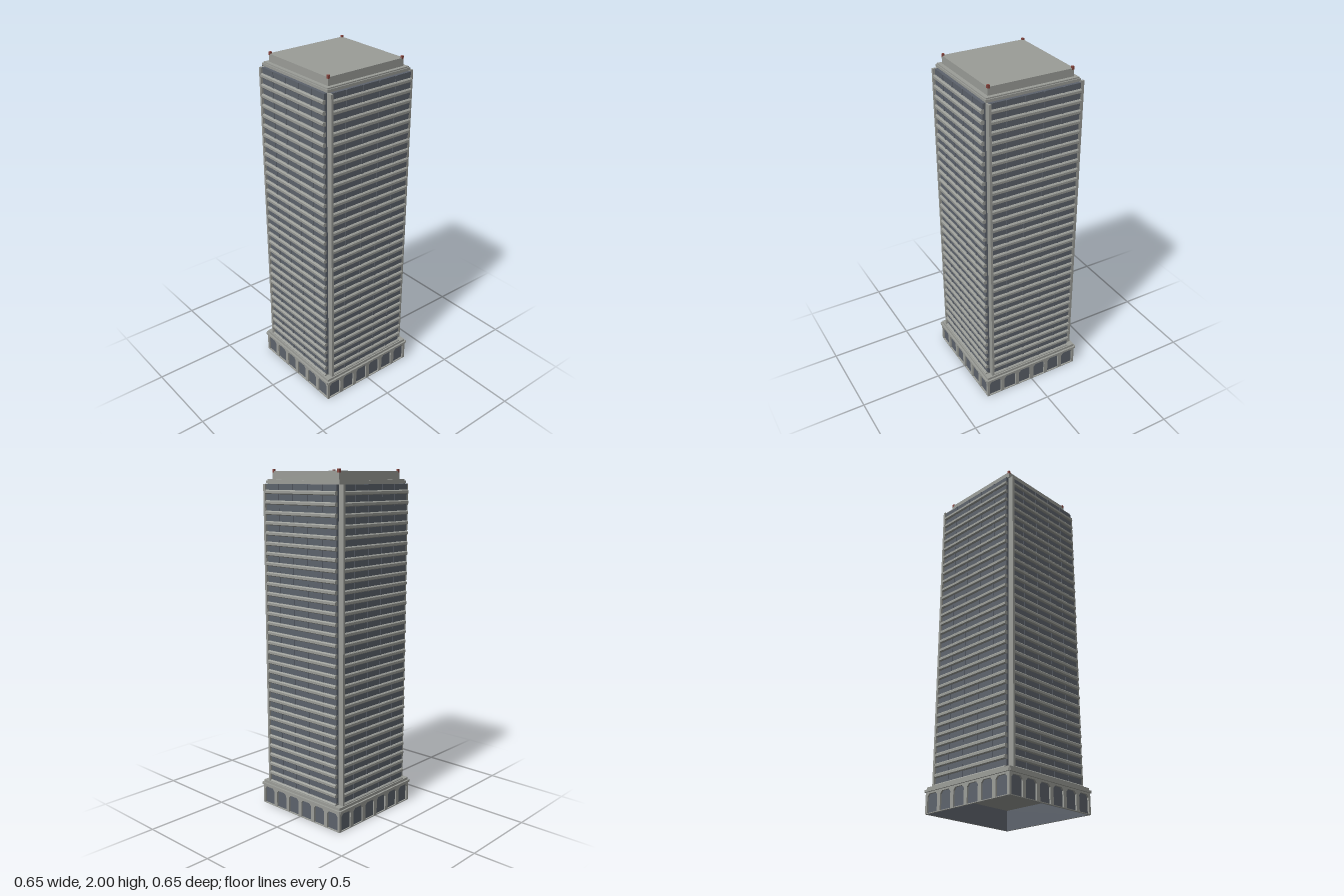
import * as THREE from 'three';

export function createModel() {
  const concrete = new THREE.MeshStandardMaterial({ color: 0x9b9d98 });
  concrete.name = 'concrete';
  const glass = new THREE.MeshStandardMaterial({ color: 0x5d636c, side: THREE.DoubleSide });
  glass.name = 'glass';
  const red = new THREE.MeshStandardMaterial({ color: 0x87463f });
  red.name = 'beaconRed';

  const model = new THREE.Group();
  model.name = 'officeTower';

  const add = (parent, name, geometry, material, x = 0, y = 0, z = 0) => {
    const mesh = new THREE.Mesh(geometry, material);
    mesh.name = name;
    mesh.position.set(x, y, z);
    parent.add(mesh);
    return mesh;
  };
  // Box given by its half widths and its bottom and top heights
  const slab = (name, hx, hz, y0, y1) =>
    add(model, name, new THREE.BoxGeometry(hx * 2, y1 - y0, hz * 2), concrete, 0, (y0 + y1) / 2, 0);

  // Shaft, base cornice and roof steps
  slab('shaftCore', 0.275, 0.275, 0.13, 1.925);
  slab('corniceAcross', 0.323, 0.317, 0.118, 0.131);
  slab('corniceAlong', 0.317, 0.323, 0.118, 0.131);
  slab('baseStep', 0.312, 0.312, 0.13, 0.146);
  slab('roofCap', 0.28, 0.28, 1.925, 1.938);
  slab('roofStep', 0.274, 0.274, 1.938, 1.945);
  slab('penthouse', 0.253, 0.253, 1.945, 1.99);

  // Base wall pierced by six openings with clipped upper corners
  const wall = new THREE.Shape();
  wall.moveTo(-0.315, 0).lineTo(0.315, 0).lineTo(0.315, 0.12).lineTo(-0.315, 0.12).closePath();
  for (let i = 0; i < 6; i++) {
    const c = (i - 2.5) * 0.104, w = 0.04;
    const hole = new THREE.Path();
    hole.moveTo(c - w, 0.004).lineTo(c - w, 0.092).lineTo(c - w + 0.014, 0.108)
      .lineTo(c + w - 0.014, 0.108).lineTo(c + w, 0.092).lineTo(c + w, 0.004).closePath();
    wall.holes.push(hole);
  }
  const wallGeometry = new THREE.ExtrudeGeometry(wall, { depth: 0.01, bevelEnabled: false });
  const baseGlassGeometry = new THREE.PlaneGeometry(0.61, 0.12);

  // Chamfered floor band, running along x and facing +z
  const profile = new THREE.Shape();
  profile.moveTo(0.285, -0.0115).lineTo(0.3, -0.0115).lineTo(0.305, -0.007)
    .lineTo(0.305, 0.006).lineTo(0.3, 0.0115).lineTo(0.285, 0.0115).closePath();
  const bandGeometry = new THREE.ExtrudeGeometry(profile, { depth: 0.535, bevelEnabled: false });
  bandGeometry.rotateY(-Math.PI / 2);
  bandGeometry.translate(0.273, 0, 0);

  const bayGeometry = new THREE.BoxGeometry(0.54, 1.78, 0.024);
  const finGeometry = new THREE.BoxGeometry(0.014, 1.78, 0.035);
  const mullionGeometry = new THREE.BoxGeometry(0.012, 1.78, 0.006);

  // Four identical sides, each with a fin at one end
  for (let s = 0; s < 4; s++) {
    const side = new THREE.Group();
    side.name = 'side' + (s + 1);
    side.rotation.y = s * Math.PI / 2;
    model.add(side);

    add(side, 'baseArcade', wallGeometry, concrete, 0, 0, 0.305);
    add(side, 'baseGlazing', baseGlassGeometry, glass, 0, 0.06, 0.304);
    add(side, 'glazedBay', bayGeometry, glass, 0.002, 1.03, 0.281);
    add(side, 'cornerFin', finGeometry, concrete, -0.269, 1.03, 0.288);
    for (let i = 0; i < 4; i++) {
      add(side, 'mullion', mullionGeometry, glass, (i - 1.5) * 0.111, 1.03, 0.293);
    }
    for (let f = 0; f < 31; f++) {
      add(side, 'floorBand', bandGeometry, concrete, 0, 0.145 + f * 0.0577, 0);
    }
  }

  // Beacons on the roof corners
  const beaconGeometry = new THREE.BoxGeometry(0.013, 0.018, 0.013);
  for (const x of [-0.247, 0.247]) {
    for (const z of [-0.247, 0.247]) add(model, 'roofBeacon', beaconGeometry, red, x, 1.991, z);
  }
  return model;
}
